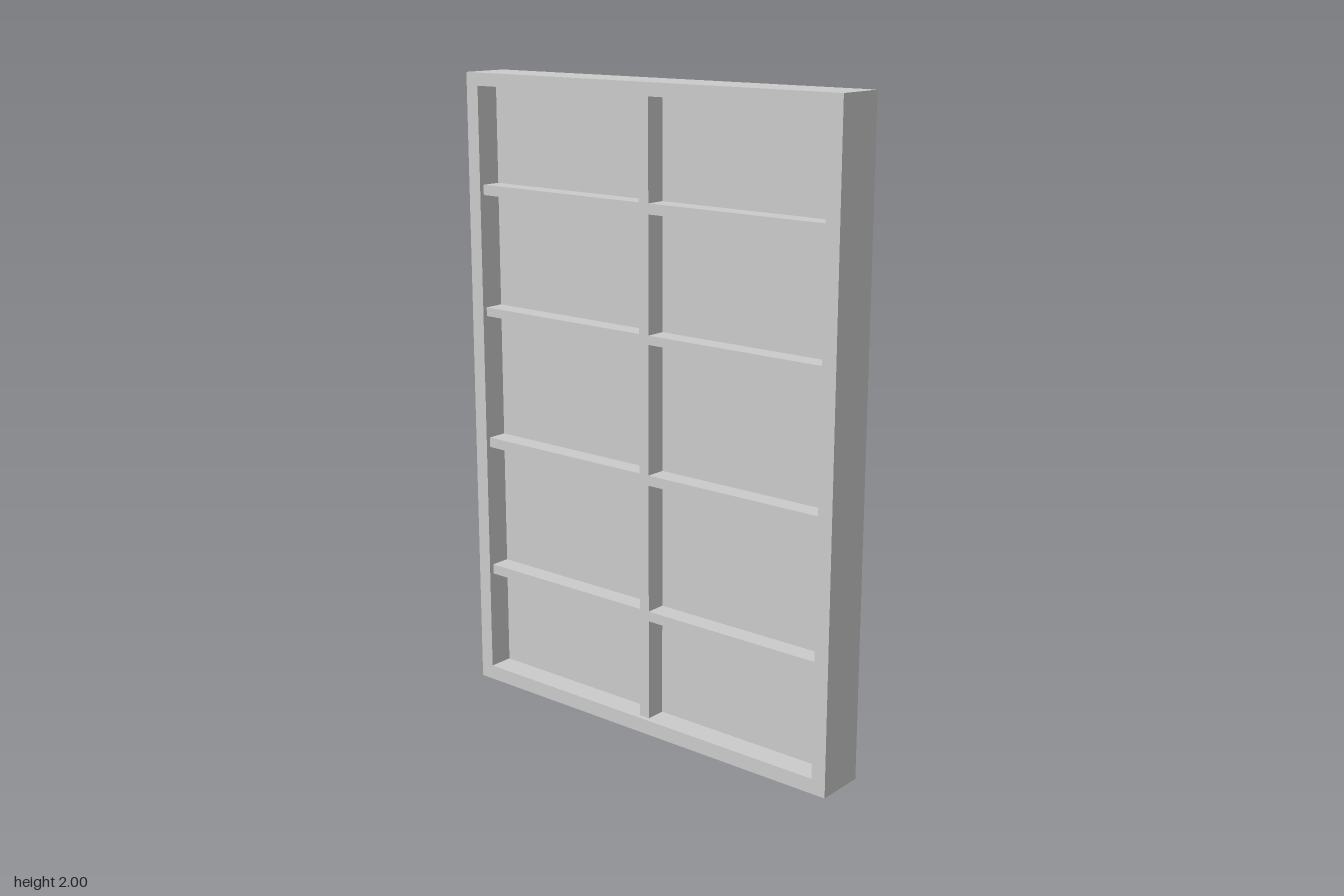
import * as THREE from 'three';

const material = new THREE.MeshStandardMaterial({ color: 0xcccccc });

// Box given by its limits on each axis
function box(name, [x0, x1], [y0, y1], [z0, z1]) {
  const mesh = new THREE.Mesh(new THREE.BoxGeometry(x1 - x0, y1 - y0, z1 - z0), material);
  mesh.position.set((x0 + x1) / 2, (y0 + y1) / 2, (z0 + z1) / 2);
  mesh.name = name;
  return mesh;
}

// Rectangle outline, usable as a shape or a hole
function rectangle(PathType, x0, x1, y0, y1) {
  return new PathType([[x0, y0], [x1, y0], [x1, y1], [x0, y1]].map(([x, y]) => new THREE.Vector2(x, y)));
}

export function createModel() {
  const model = new THREE.Group();
  model.name = 'window';

  const halfWidth = 0.695, innerHalf = 0.648, bottom = 0.047, top = 1.96;
  const halfDepth = 0.08;

  // Outer frame, one extruded rectangle with an opening
  const outline = rectangle(THREE.Shape, -halfWidth, halfWidth, 0, 2);
  outline.holes.push(rectangle(THREE.Path, -innerHalf, innerHalf, bottom, top));
  const frameGeometry = new THREE.ExtrudeGeometry(outline, { depth: halfDepth * 2, bevelEnabled: false });
  frameGeometry.translate(0, 0, -halfDepth);
  const frame = new THREE.Mesh(frameGeometry, material);
  frame.name = 'frame';
  model.add(frame);

  // Glazing bars, set slightly back from both faces of the frame
  const barDepth = [-0.065, 0.065];
  const mullion = [-0.013, 0.023];
  model.add(box('verticalBar', mullion, [bottom, top], barDepth));
  const rails = [[0.37, 0.402], [0.805, 0.837], [1.238, 1.266], [1.623, 1.655]];
  for (const rail of rails) {
    model.add(box('crossBarRight', [-innerHalf, mullion[0]], rail, barDepth));
    model.add(box('crossBarLeft', [mullion[1], innerHalf], rail, barDepth));
  }

  // Panes, filling every opening between the bars
  const edges = [bottom, ...rails.flat(), top];
  for (let i = 0; i < edges.length; i += 2) {
    const height = [edges[i], edges[i + 1]];
    model.add(box('paneRight', [-innerHalf, mullion[0]], height, [-0.045, 0]));
    model.add(box('paneLeft', [mullion[1], innerHalf], height, [-0.045, 0]));
  }
  return model;
}
